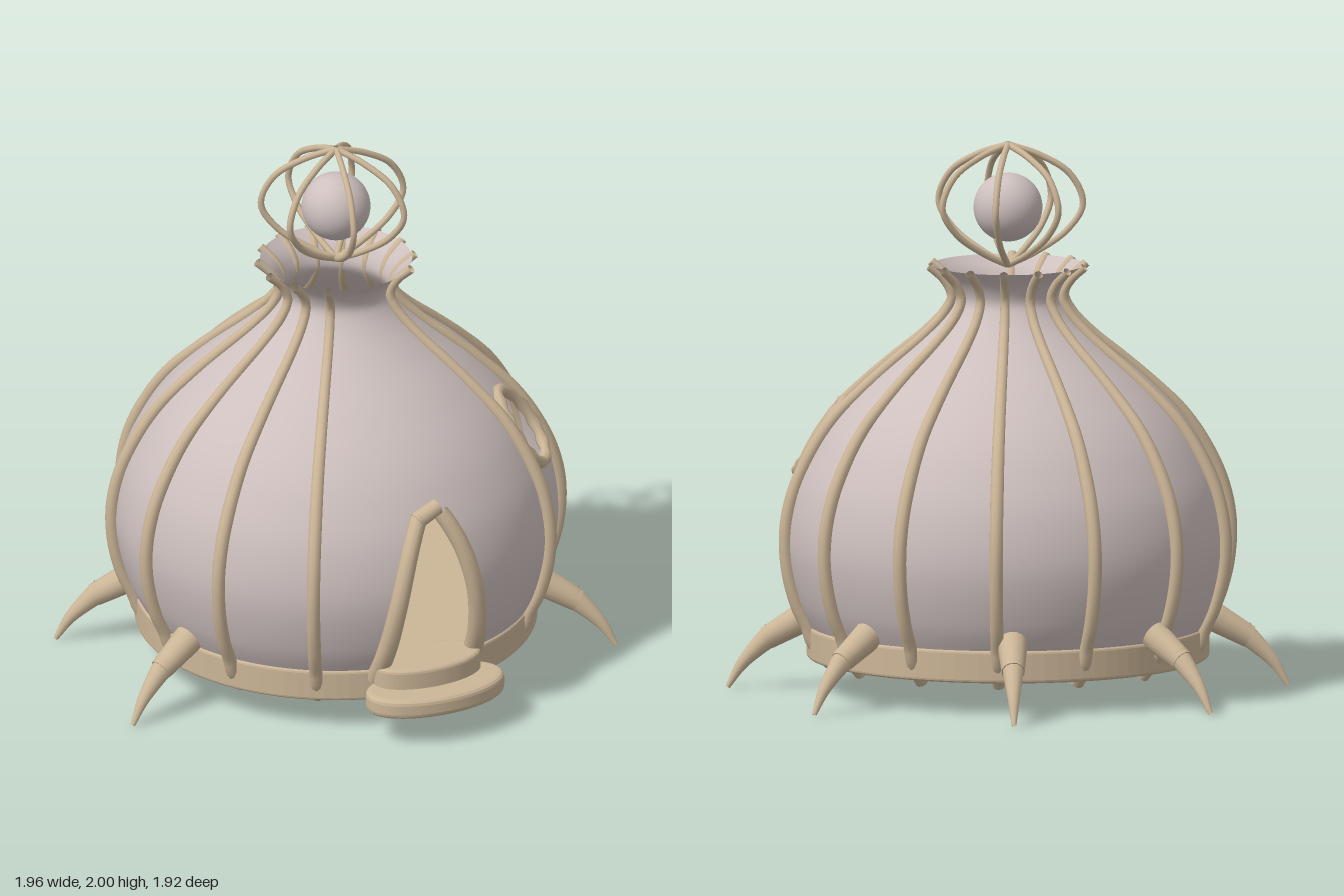
import * as THREE from 'three';

const CX = 0.027, CZ = 0.018; // axis of the round house
const V = (x, y, z) => new THREE.Vector3(x, y, z);
const around = (a, r, y) => V(CX + Math.cos(a) * r, y, CZ + Math.sin(a) * r);
const rad = THREE.MathUtils.degToRad;

// linear lookup in a list of [key, value] with rising keys
function lookup(table, k) {
  for (let i = 1; i < table.length; i++) {
    const [k0, v0] = table[i - 1], [k1, v1] = table[i];
    if (k <= k1) return v0 + (v1 - v0) * Math.max(0, (k - k0) / (k1 - k0));
  }
  return table[table.length - 1][1];
}

// onion-shaped wall profile: radius, height
const profile = new THREE.SplineCurve([
  [0.69, 0.18], [0.765, 0.33], [0.805, 0.53], [0.78, 0.72], [0.71, 0.88], [0.62, 1.01],
  [0.49, 1.14], [0.345, 1.26], [0.255, 1.34], [0.205, 1.4], [0.193, 1.44], [0.22, 1.5], [0.275, 1.55],
].map(([r, y]) => new THREE.Vector2(r, y))).getSpacedPoints(100);
const wallTable = profile.map((p) => [p.y, p.x]);
const wallRadius = (y) => lookup(wallTable, y);

// half width of the pointed doorway by height
const doorTable = [[0.18, 0.185], [0.4, 0.168], [0.55, 0.145], [0.68, 0.11], [0.77, 0.075], [0.84, 0.035], [0.85, 0]];
const doorHalf = (y) => lookup(doorTable, y);
const WINDOW = { a: rad(34), y: 0.92, ha: 0.165, hy: 0.13 };

function isOpening(a, y) {
  const r = wallRadius(y);
  const inDoor = Math.sin(a) > 0 && y < 0.85 && Math.abs(Math.cos(a) * r) < doorHalf(y);
  const w = Math.hypot((a - WINDOW.a) / WINDOW.ha, (y - WINDOW.y) / WINDOW.hy) < 1;
  return inDoor || w;
}

// wall surface of revolution, leaving out the door and window
function wallGeometry() {
  const n = 240, pos = [], idx = [];
  for (const p of profile)
    for (let j = 0; j < n; j++) pos.push(...around((j / n) * Math.PI * 2, p.x, p.y).toArray());
  for (let i = 0; i < profile.length - 1; i++)
    for (let j = 0; j < n; j++) {
      if (isOpening(((j + 0.5) / n) * Math.PI * 2, (profile[i].y + profile[i + 1].y) / 2)) continue;
      const a = i * n + j, b = i * n + ((j + 1) % n);
      idx.push(a, a + n, b, b, a + n, b - 0 + n);
    }
  const g = new THREE.BufferGeometry();
  g.setAttribute('position', new THREE.Float32BufferAttribute(pos, 3));
  g.setIndex(idx);
  g.computeVertexNormals();
  return g;
}

// tube whose thickness is scaled along its length
function taperTube(points, radius, scale = () => 1, segs = 40, sides = 10, closed = false) {
  const curve = new THREE.CatmullRomCurve3(points, closed);
  const g = new THREE.TubeGeometry(curve, segs, radius, sides, closed);
  const p = g.attributes.position, v = V();
  for (let i = 0; i <= segs; i++) {
    const c = curve.getPointAt(i / segs);
    for (let j = 0; j <= sides; j++) {
      const k = i * (sides + 1) + j;
      v.fromBufferAttribute(p, k).sub(c).multiplyScalar(scale(i / segs)).add(c);
      p.setXYZ(k, v.x, v.y, v.z);
    }
  }
  return g;
}

// closed round bar between two points
function bar(a, b, ra, rb) {
  const d = b.clone().sub(a);
  const g = new THREE.CylinderGeometry(rb, ra, d.length(), 16);
  g.applyQuaternion(new THREE.Quaternion().setFromUnitVectors(V(0, 1, 0), d.normalize()));
  const m = a.clone().add(b).multiplyScalar(0.5);
  return g.translate(m.x, m.y, m.z);
}

// elliptical slab with softened edges
function slab(x, z, rx, rz, y0, y1, bevel) {
  const s = new THREE.Shape().absellipse(0, 0, rx - bevel, rz - bevel, 0, Math.PI * 2);
  const g = new THREE.ExtrudeGeometry(s, {
    depth: y1 - y0 - 2 * bevel, bevelSize: bevel, bevelThickness: bevel, bevelSegments: 3, curveSegments: 48,
  });
  return g.rotateX(-Math.PI / 2).translate(x, y0 + bevel, z);
}

export function createModel() {
  const model = new THREE.Group();
  model.name = 'onionHouse';
  const mauve = new THREE.MeshStandardMaterial({ name: 'mauveWall', color: 0xcdc0be, side: THREE.DoubleSide });
  const tan = new THREE.MeshStandardMaterial({ name: 'tanWood', color: 0xcbb597, side: THREE.DoubleSide });
  const add = (name, geo, mat = tan, parent = model) => {
    const m = new THREE.Mesh(geo, mat);
    m.name = name;
    parent.add(m);
    return m;
  };
  const group = (name) => {
    const g = new THREE.Group();
    g.name = name;
    model.add(g);
    return g;
  };

  add('wall', wallGeometry(), mauve);
  add('baseFloor', slab(CX, CZ, 0.73, 0.73, 0.12, 0.24, 0.012));
  add('lowerStep', slab(0.03, 0.815, 0.27, 0.147, 0.12, 0.195, 0.02));
  add('upperStep', slab(0.03, 0.75, 0.21, 0.11, 0.18, 0.27, 0.015));

  // ribs: fourteen places, two left free for the door
  const ribs = group('ribs');
  const ribHeights = [1.55, 1.5, 1.44, 1.38, 1.3, 1.2, 1.1, 1.0, 0.88, 0.74, 0.6, 0.45, 0.32, 0.24];
  for (let k = 0; k < 14; k++) {
    if (k === 1 || k === 2) continue;
    const a = rad(45.1) + (k / 14) * Math.PI * 2;
    const pts = ribHeights.map((y) => around(a, wallRadius(y) + (y > 1 && y < 1.35 ? 0.008 : 0.013), y));
    pts.push(around(a, 0.715, 0.18), around(a, 0.65, 0.105));
    add('rib', taperTube(pts, 0.025, (t) => 0.65 + 0.35 * Math.min(1, t * 1.8), 60), tan, ribs);
  }

  // claw feet
  const feet = group('feet');
  for (const deg of [28, 163, 208, 253, 298, 343]) {
    const a = rad(deg);
    add('footUpper', bar(around(a, 0.71, 0.28), around(a, 0.875, 0.185), 0.058, 0.042), tan, feet);
    const claw = [[0.85, 0.205], [0.91, 0.15], [0.965, 0.09], [1.015, 0.008]].map(([r, y]) => around(a, r, y));
    add('footClaw', taperTube(claw, 0.043, (t) => 1 - 0.8 * t, 16, 12), tan, feet);
  }

  // door frame riding on the wall, closed by a crooked cap
  const doorFrame = group('doorFrame');
  const onDoor = (side, y, w) => {
    const r = wallRadius(y) + 0.015;
    return V(CX + 0.008 + side * w, y, CZ + Math.sqrt(r * r - w * w));
  };
  for (const side of [-1, 1]) {
    const pts = [0.2, 0.35, 0.5, 0.62, 0.72, 0.8, 0.84].map((y) => onDoor(side, y, doorHalf(y) + 0.008));
    add('doorPost', taperTube(pts, 0.036, (t) => 1 - 0.15 * t), tan, doorFrame);
  }
  add('doorCap', bar(onDoor(-1, 0.825, 0.06), onDoor(1, 0.86, 0.035), 0.032, 0.03), tan, doorFrame);

  // window ring, slightly knobbly
  const ring = [];
  for (let i = 0; i < 20; i++) {
    const t = (i / 20) * Math.PI * 2, y = WINDOW.y + Math.sin(t) * WINDOW.hy;
    ring.push(around(WINDOW.a + Math.cos(t) * WINDOW.ha, wallRadius(y) + 0.008, y));
  }
  add('windowFrame', taperTube(ring, 0.021, (t) => 1 + 0.15 * Math.cos(t * Math.PI * 22), 110, 8, true));

  // wire cage with a ball on top
  const cage = group('cage');
  for (let k = 0; k < 7; k++) {
    const a = (k / 7) * Math.PI * 2;
    const pts = [[0.005, 1.55], [0.1, 1.595], [0.215, 1.675], [0.272, 1.77], [0.225, 1.88], [0.115, 1.95], [0.005, 1.988]]
      .map(([r, y]) => around(a, r, y));
    add('cageWire', taperTube(pts, 0.012, () => 1, 40, 8), tan, cage);
  }
  add('ball', new THREE.SphereGeometry(0.125, 40, 28).translate(CX, 1.76, CZ), mauve);

  // furniture inside
  const furniture = group('furniture');
  add('bench', new THREE.BoxGeometry(0.5, 0.09, 0.2).translate(CX, 0.415, -0.42), tan, furniture);
  for (const s of [-1, 1])
    add('benchLeg', new THREE.BoxGeometry(0.06, 0.14, 0.16).translate(CX + s * 0.2, 0.305, -0.42), tan, furniture);
  add('tableTop', new THREE.CylinderGeometry(0.12, 0.12, 0.012, 32).translate(0.1, 0.515, -0.12), tan, furniture);
  add('tableLeg', new THREE.CylinderGeometry(0.02, 0.05, 0.28, 16).translate(0.13, 0.375, -0.12), tan, furniture);
  add('cup', new THREE.SphereGeometry(0.022, 16, 12).translate(0.075, 0.538, -0.12), mauve, furniture);

  return model;
}
